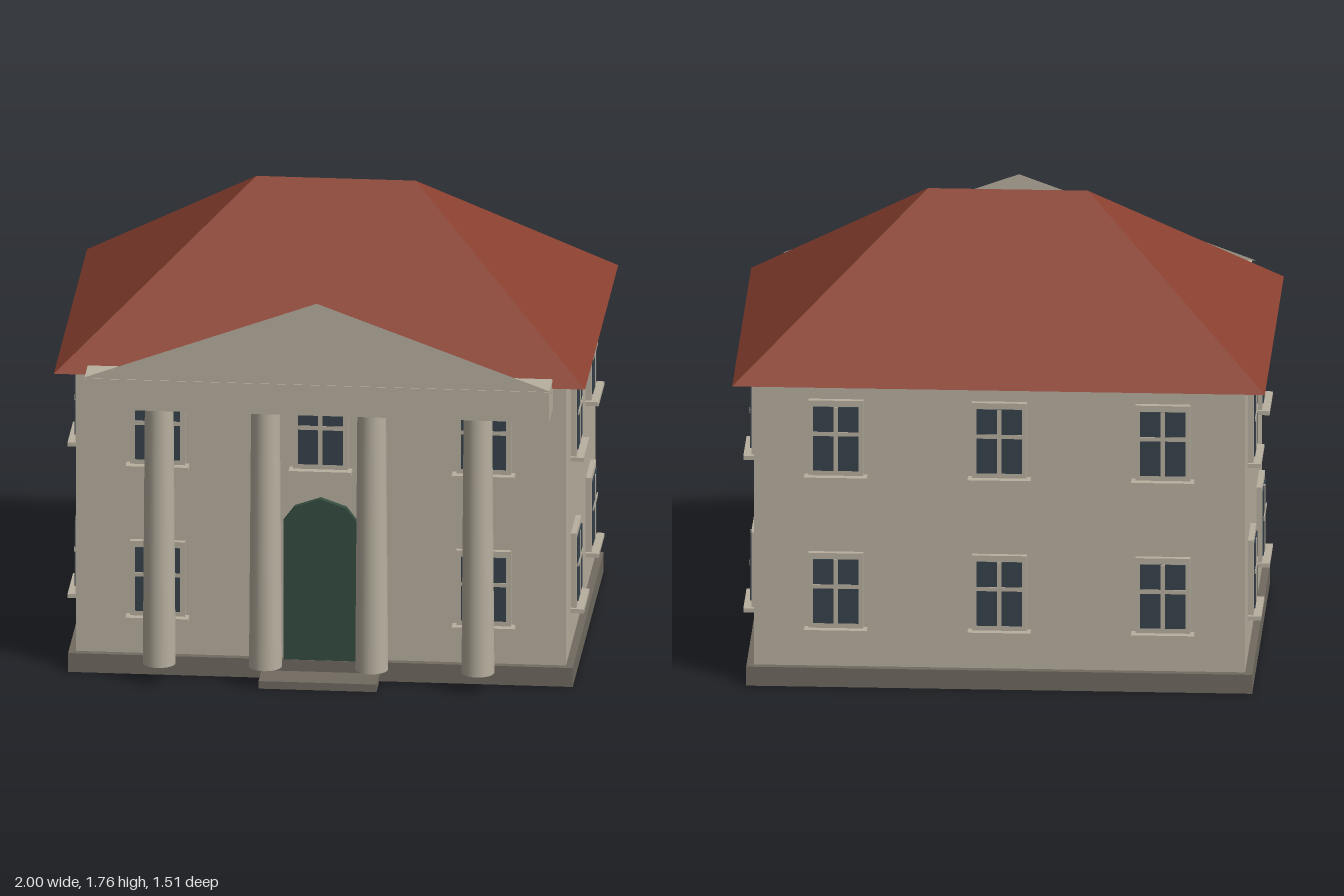
import * as THREE from 'three';
import { ConvexGeometry } from 'three/addons/geometries/ConvexGeometry.js';

const material = (name, color, extra = {}) => {
  const m = new THREE.MeshStandardMaterial({ color, ...extra });
  m.name = name;
  return m;
};

export function createModel() {
  const stone = material('stone', 0xb8b0a0, { side: THREE.DoubleSide });
  const plinthGrey = material('plinthGrey', 0x706a60);
  const roofRed = material('roofRed', 0x8a4030);
  const glass = material('glass', 0x36424c);
  const doorGreen = material('doorGreen', 0x344c40);

  const model = new THREE.Group();
  model.name = 'house';

  const add = (parent, name, geometry, mat, x = 0, y = 0, z = 0) => {
    const mesh = new THREE.Mesh(geometry, mat);
    mesh.name = name;
    mesh.position.set(x, y, z);
    parent.add(mesh);
    return mesh;
  };
  // Box given by its extents on each axis
  const box = (parent, name, mat, [x0, x1], [y0, y1], [z0, z1]) =>
    add(parent, name, new THREE.BoxGeometry(x1 - x0, y1 - y0, z1 - z0), mat,
      (x0 + x1) / 2, (y0 + y1) / 2, (z0 + z1) / 2);

  // Main body
  const wallX = 0.922, wallFront = 0.57, wallBack = -0.68, midZ = -0.055;
  box(model, 'plinth', plinthGrey, [-0.95, 0.95], [0, 0.075], [-0.708, 0.597]);
  box(model, 'walls', stone, [-wallX, wallX], [0.07, 1.199], [wallBack, wallFront]);
  box(model, 'doorStep', plinthGrey, [-0.222, 0.222], [0, 0.03], [0.59, 0.72]);

  // Hipped roof with a short ridge
  const v = (x, y, z) => new THREE.Vector3(x, y, z);
  add(model, 'roof', new ConvexGeometry([
    v(-1, 1.2, 0.64), v(1, 1.2, 0.64), v(1, 1.2, -0.76), v(-1, 1.2, -0.76),
    v(-0.3, 1.762, -0.06), v(0.3, 1.762, -0.06),
  ]), roofRed);

  // Portico: tapered columns, beam and thin gable
  const columnGeometry = new THREE.CylinderGeometry(0.054, 0.062, 1.035, 24);
  for (const x of [-0.6, -0.2, 0.2, 0.6]) {
    add(model, 'column', columnGeometry, stone, x, 0.5925, 0.673);
  }
  box(model, 'portico beam', stone, [-0.875, 0.875], [1.105, 1.226], [0.585, 0.755]);
  const gable = new THREE.Shape([
    new THREE.Vector2(-0.89, 1.224), new THREE.Vector2(0.89, 1.224), new THREE.Vector2(0, 1.55),
  ]);
  add(model, 'pediment', new THREE.ShapeGeometry(gable), stone, 0, 0, 0.752);

  // Door with a faceted arched head
  const doorShape = new THREE.Shape([
    [-0.14, 0.075], [0.14, 0.075], [0.14, 0.625], [0.097, 0.682],
    [0, 0.716], [-0.097, 0.682], [-0.14, 0.625],
  ].map(([x, y]) => new THREE.Vector2(x, y)));
  add(model, 'door', new THREE.ExtrudeGeometry(doorShape, { depth: 0.03, bevelEnabled: false }),
    doorGreen, 0, 0, wallFront - 0.005);

  // Window facing +z, with its origin on the wall surface
  const addWindow = (x, y, z, turn) => {
    const w = new THREE.Group();
    w.name = 'window';
    box(w, 'windowFrame', stone, [-0.103, 0.103], [-0.15, 0.15], [-0.005, 0.021]);
    box(w, 'windowPane', glass, [-0.085, 0.085], [-0.126, 0.126], [0.018, 0.026]);
    box(w, 'uprightBar', stone, [-0.008, 0.008], [-0.126, 0.126], [0.022, 0.029]);
    box(w, 'crossBar', stone, [-0.085, 0.085], [0.012, 0.028], [0.022, 0.029]);
    box(w, 'windowSill', stone, [-0.118, 0.118], [-0.162, -0.146], [-0.005, 0.05]);
    w.position.set(x, y, z);
    w.rotation.y = turn;
    model.add(w);
  };
  for (const y of [0.377, 0.98]) {
    for (const x of [-0.614, 0, 0.614]) {
      addWindow(x, y, wallBack, Math.PI);
      // The door takes the middle place on the ground floor
      if (x !== 0 || y > 0.5) addWindow(x, y, wallFront, 0);
    }
    for (const side of [-1, 1]) {
      for (const dz of [-0.3125, 0.3125]) {
        addWindow(side * wallX, y, midZ + dz, side * Math.PI / 2);
      }
    }
  }
  return model;
}
